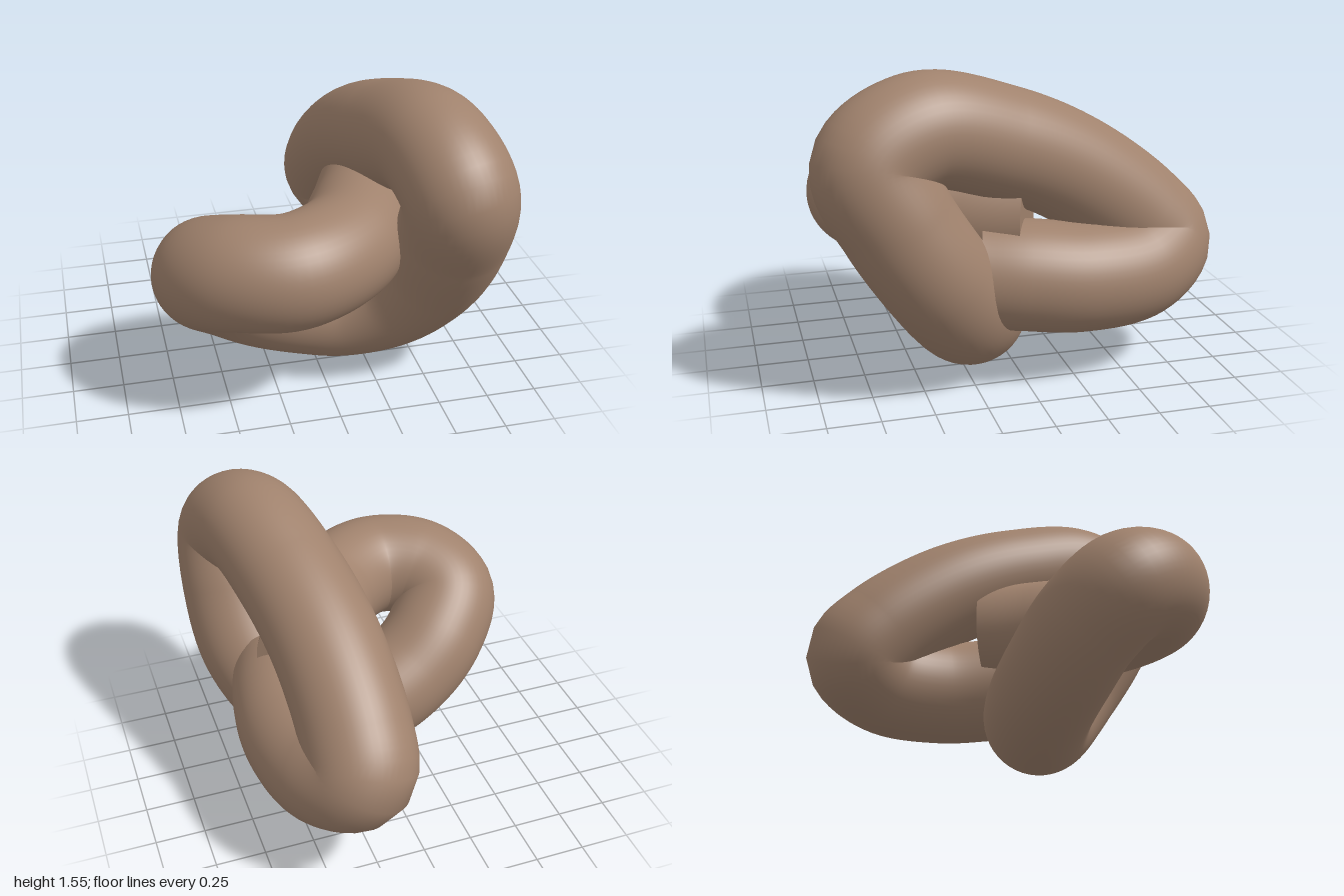
import * as THREE from 'three';

const RADIUS = 0.27;

// Centreline of the twisted loop, from the lower right end to the left arm's end
const PATH = [
  [0.42, 0.55, 0.2], [0.475, 0.54, 0], [0.5, 0.515, -0.27], [0.44, 0.525, -0.58],
  [0.33, 0.61, -0.73], [0.31, 0.75, -0.62], [0.33, 1.01, -0.27], [0.39, 1.18, 0.1],
  [0.48, 1.275, 0.5], [0.54, 1.14, 0.73], [0.565, 0.88, 0.62], [0.53, 0.58, 0.43],
  [0.38, 0.36, 0.27], [0.15, 0.272, 0.17], [-0.04, 0.3, 0.15], [-0.27, 0.4, 0.19],
  [-0.45, 0.54, 0.27], [-0.57, 0.69, 0.42], [-0.47, 0.775, 0.59], [-0.22, 0.795, 0.67],
  [0.07, 0.795, 0.5], [0.24, 0.795, 0.2], [0.35, 0.795, -0.05],
];

export function createModel() {
  const group = new THREE.Group();
  const brown = new THREE.MeshStandardMaterial({ color: 0xa0826d });
  brown.name = 'clay brown';

  // Thick smooth tube
  const curve = new THREE.CatmullRomCurve3(PATH.map((p) => new THREE.Vector3(...p)));
  const tube = new THREE.Mesh(new THREE.TubeGeometry(curve, 240, RADIUS, 48, false), brown);
  tube.name = 'knotTube';
  group.add(tube);

  // Flat discs closing both ends
  for (const [name, t, sign] of [['startCap', 0, -1], ['endCap', 1, 1]]) {
    const cap = new THREE.Mesh(new THREE.CircleGeometry(RADIUS, 48), brown);
    const outward = curve.getTangentAt(t).multiplyScalar(sign);
    cap.position.copy(curve.getPointAt(t));
    cap.quaternion.setFromUnitVectors(new THREE.Vector3(0, 0, 1), outward);
    cap.name = name;
    group.add(cap);
  }
  return group;
}
